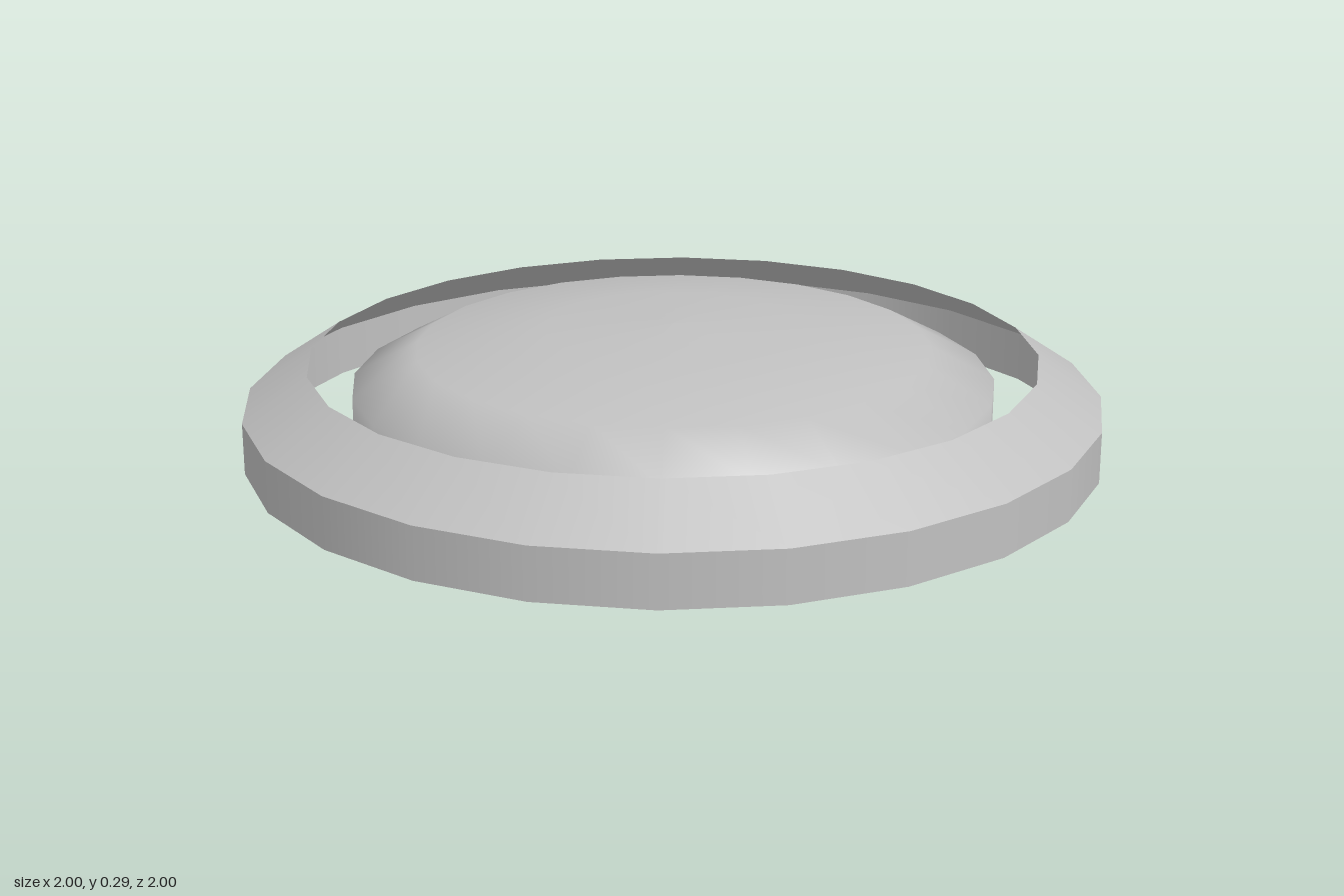
import * as THREE from 'three';

const SIDES = 24;

export function createModel() {
  const model = new THREE.Group();
  const grey = new THREE.MeshStandardMaterial({ color: 0xc0c0c0, side: THREE.DoubleSide });
  grey.name = 'light grey';

  // Open shell turned around the y axis from [radius, height] points
  const shell = (name, profile) => {
    const points = profile.map(([r, y]) => new THREE.Vector2(r, y));
    const mesh = new THREE.Mesh(new THREE.LatheGeometry(points, SIDES), grey);
    mesh.name = name;
    return mesh;
  };

  // Outer ring: upright band and sloped bezel, with a sharp edge between
  const ring = new THREE.Group();
  ring.name = 'outerRing';
  ring.add(
    shell('ringWall', [[1, 0], [1, 0.12]]),
    shell('ringBezel', [[1, 0.12], [0.85, 0.22]])
  );

  // Central dome: hollow, smooth from wall to crown
  const dome = shell('dome', [[0.75, 0], [0.75, 0.16], [0.6, 0.24], [0.3, 0.28], [0, 0.29]]);

  model.add(ring, dome);
  return model;
}
